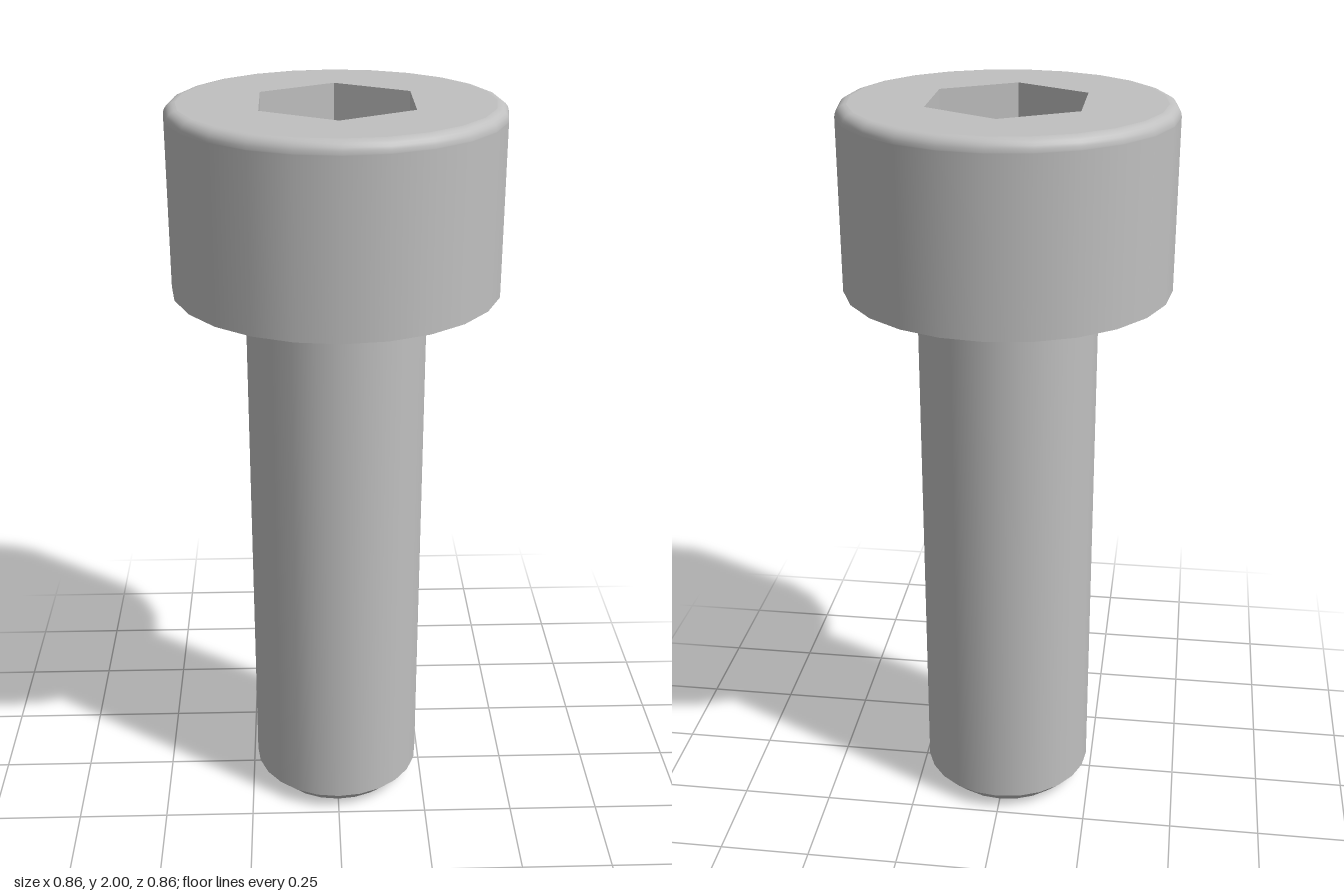
import * as THREE from 'three';
import { mergeVertices } from 'three/addons/utils/BufferGeometryUtils.js';

const SIDES = 24;
const HEAD_R = 0.428, HEAD_Y = 1.524, TOP = 2, FILLET = 0.03;
const SHAFT_R = 0.238, TIP_R = 0.19, CHAMFER = 0.048;
const HEX_R = 0.22, SOCKET_Y = 1.79, SOCKET_TIP_Y = 1.69;

// Surface of revolution from [radius, height] pairs
const lathe = (pairs, sides = SIDES) =>
  new THREE.LatheGeometry(pairs.map(([r, y]) => new THREE.Vector2(r, y)), sides);

export function createModel() {
  const model = new THREE.Group();
  const steel = new THREE.MeshStandardMaterial({ color: 0xc0c0c0 });
  steel.name = 'steel grey';

  const add = (name, geometry) => {
    const mesh = new THREE.Mesh(geometry, steel);
    mesh.name = name;
    model.add(mesh);
    return mesh;
  };

  // Shaft with chamfered tip; separate runs keep the edges sharp
  add('shaft', lathe([[SHAFT_R, CHAMFER], [SHAFT_R, HEAD_Y]]));
  add('tipChamfer', lathe([[TIP_R, 0], [SHAFT_R, CHAMFER]]));
  add('tipEnd', lathe([[0, 0], [TIP_R, 0]]));

  // Head: underside, then side wall rounding over into the top
  add('headUnderside', lathe([[SHAFT_R, HEAD_Y], [HEAD_R, HEAD_Y]]));
  const side = [[HEAD_R, HEAD_Y], [HEAD_R, TOP - FILLET - 0.002]];
  for (let i = 0; i <= 6; i++) {
    const a = (i / 6) * Math.PI / 2;
    side.push([HEAD_R - FILLET + FILLET * Math.cos(a), TOP - FILLET + FILLET * Math.sin(a)]);
  }
  add('headSide', lathe(side));

  // Flat top with a hexagonal opening, corners on the z axis
  const polygon = (radius, sides) => Array.from({ length: sides }, (_, i) => {
    const a = (i / sides) * Math.PI * 2;
    return new THREE.Vector2(radius * Math.sin(a), radius * Math.cos(a));
  });
  const face = new THREE.Shape(polygon(HEAD_R - FILLET, SIDES));
  face.holes.push(new THREE.Path(polygon(HEX_R, 6)));
  const top = add('headTop', new THREE.ShapeGeometry(face));
  top.rotation.x = -Math.PI / 2;
  top.position.y = TOP;

  // Hex socket: six flat walls facing inward
  const walls = lathe([[HEX_R, TOP], [HEX_R, SOCKET_Y]], 6).toNonIndexed();
  walls.computeVertexNormals();
  add('socketWalls', walls);

  // Smoothly shaded, shallow conical socket floor
  let floor = lathe([[HEX_R, SOCKET_Y], [HEX_R / 2, (SOCKET_Y + SOCKET_TIP_Y) / 2], [0, SOCKET_TIP_Y]], 6);
  floor.deleteAttribute('normal');
  floor.deleteAttribute('uv');
  floor = mergeVertices(floor);
  floor.computeVertexNormals();
  add('socketFloor', floor);

  return model;
}
